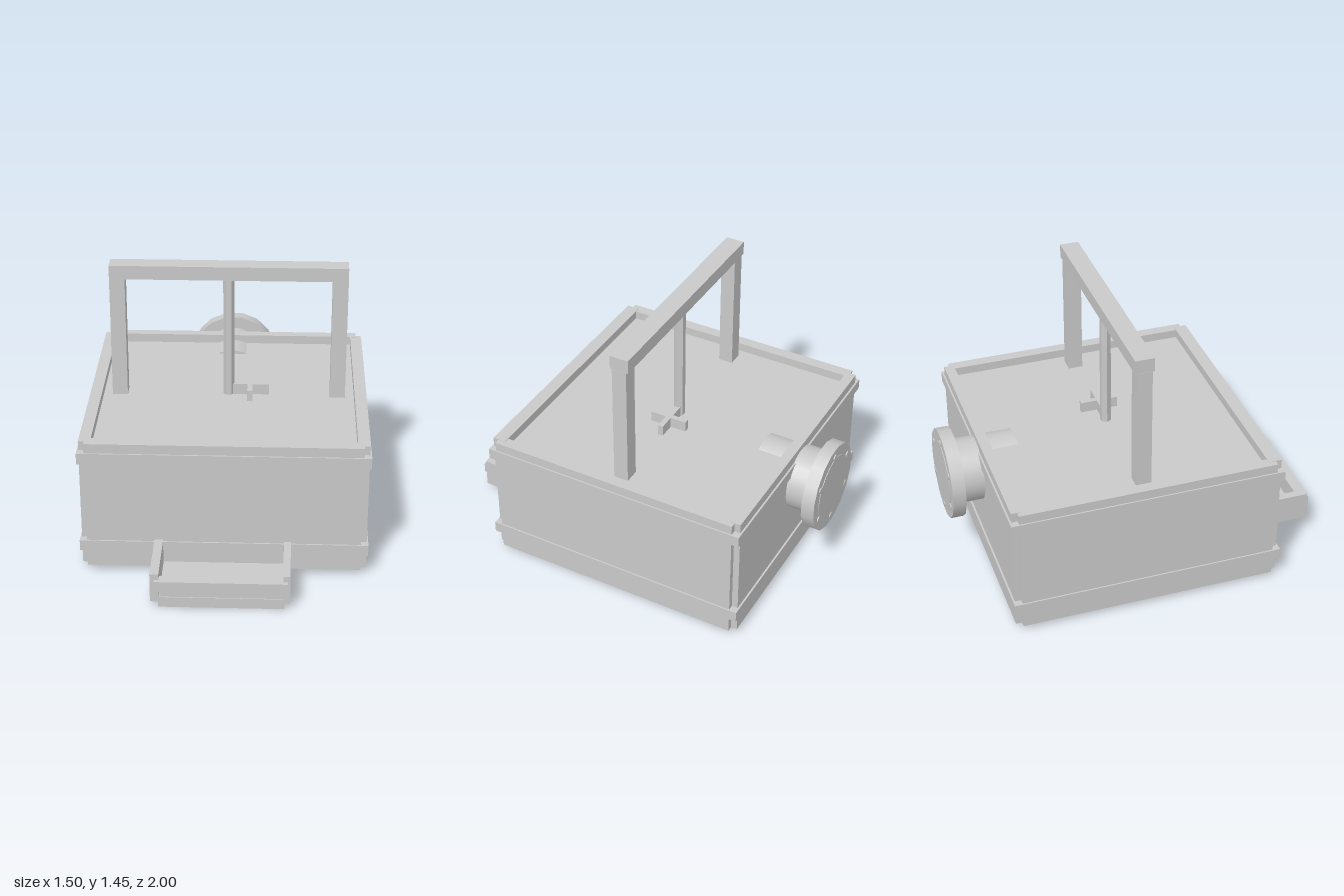
import * as THREE from 'three';

export function createModel() {
  const root = new THREE.Group();
  const grey = new THREE.MeshStandardMaterial({ color: 0xc9c9c9 });
  grey.name = 'plain grey';

  // Box given by its min and max along each axis
  const box = (name, x0, x1, y0, y1, z0, z1, parent = root) => {
    const mesh = new THREE.Mesh(new THREE.BoxGeometry(x1 - x0, y1 - y0, z1 - z0), grey);
    mesh.position.set((x0 + x1) / 2, (y0 + y1) / 2, (z0 + z1) / 2);
    mesh.name = name;
    parent.add(mesh);
    return mesh;
  };

  // Rod along z, with a flat side on top
  const rodZ = (name, r, sides, x, y, z0, z1, parent) => {
    const geo = new THREE.CylinderGeometry(r, r, z1 - z0, sides);
    geo.rotateY(Math.PI / sides).rotateX(Math.PI / 2);
    const mesh = new THREE.Mesh(geo, grey);
    mesh.position.set(x, y, (z0 + z1) / 2);
    mesh.name = name;
    parent.add(mesh);
    return mesh;
  };

  // Rectangular ring lying flat, from outer and inner half sizes
  const ring = (name, ox, oz, ix, iz, y0, y1, zc) => {
    const rect = (C, hx, hz) => new C().setFromPoints([
      [-hx, -hz], [hx, -hz], [hx, hz], [-hx, hz],
    ].map(([x, y]) => new THREE.Vector2(x, y)));
    const shape = rect(THREE.Shape, ox, oz);
    shape.holes.push(rect(THREE.Path, ix, iz));
    const geo = new THREE.ExtrudeGeometry(shape, { depth: y1 - y0, bevelEnabled: false });
    geo.rotateX(-Math.PI / 2);
    const mesh = new THREE.Mesh(geo, grey);
    mesh.position.set(0, y0, zc);
    mesh.name = name;
    root.add(mesh);
  };

  // Tank: core up to the deck, four walls leaving notched corners, two bands
  const zc = -0.083, deck = 0.693;
  box('tankCore', -0.69, 0.69, 0.03, deck, -0.76, 0.58);
  box('basePlate', -0.71, 0.71, 0.022, 0.032, -0.77, 0.607);
  box('frontWall', -0.712, 0.712, 0.028, 0.742, 0.57, 0.641);
  box('backWall', -0.712, 0.712, 0.028, 0.742, -0.805, -0.75);
  for (const s of [-1, 1]) {
    box('sideWall', s * 0.711 - 0.031, s * 0.711 + 0.031, 0.028, 0.74, -0.772, 0.609);
  }
  for (const y of [0.12, 0.63]) ring('band', 0.75, 0.732, 0.7, 0.68, y, y + 0.06, zc);

  // Frame standing on the deck
  for (const s of [-1, 1]) {
    const x = s * 0.59;
    box('framePost', x - 0.041, x + 0.041, deck, 1.37, -0.123, -0.043);
  }
  box('frameBeam', -0.63, 0.63, 1.37, 1.445, -0.134, -0.032);

  // Thin faceted shaft under the beam
  const shaftGeo = new THREE.CylinderGeometry(0.03, 0.03, 1.37 - deck, 6).toNonIndexed();
  shaftGeo.computeVertexNormals();
  const shaft = new THREE.Mesh(shaftGeo, grey);
  shaft.rotation.y = Math.PI / 6;
  shaft.position.set(0, (1.37 + deck) / 2, zc);
  shaft.name = 'shaft';
  root.add(shaft);

  // Cross-shaped block on the deck
  const cross = new THREE.Group();
  cross.name = 'cross';
  root.add(cross);
  box('crossArm', 0.015, 0.218, deck, 0.752, -0.1, -0.07, cross);
  box('crossArm', 0.102, 0.13, deck, 0.752, -0.188, 0.016, cross);

  // Rear pipe, reaching through the wall, with a bolted flange
  const pipe = new THREE.Group();
  pipe.name = 'pipe';
  root.add(pipe);
  const py = 0.541;
  rodZ('pipeBody', 0.173, 24, 0, py, -0.93, -0.597, pipe);
  rodZ('flange', 0.243, 16, 0, py, -0.994, -0.923, pipe);
  rodZ('flangeFace', 0.18, 24, 0, py, -0.997, -0.98, pipe);
  for (let i = 0; i < 6; i++) {
    const a = (i * Math.PI) / 3;
    rodZ('bolt', 0.018, 8, 0.195 * Math.sin(a), py + 0.195 * Math.cos(a), -1.0, -0.918, pipe);
  }

  // Open tray at the front foot
  const tray = new THREE.Group();
  tray.name = 'tray';
  root.add(tray);
  box('trayFloor', -0.32, 0.32, 0, 0.057, 0.59, 0.98, tray);
  box('traySide', -0.36, -0.315, 0.03, 0.19, 0.6, 0.978, tray);
  box('traySide', 0.312, 0.348, 0.03, 0.19, 0.6, 0.978, tray);
  box('trayFront', -0.312, 0.312, 0.057, 0.11, 0.94, 0.975, tray);
  box('trayLip', -0.338, 0.335, 0.1, 0.157, 0.94, 0.998, tray);

  return root;
}
